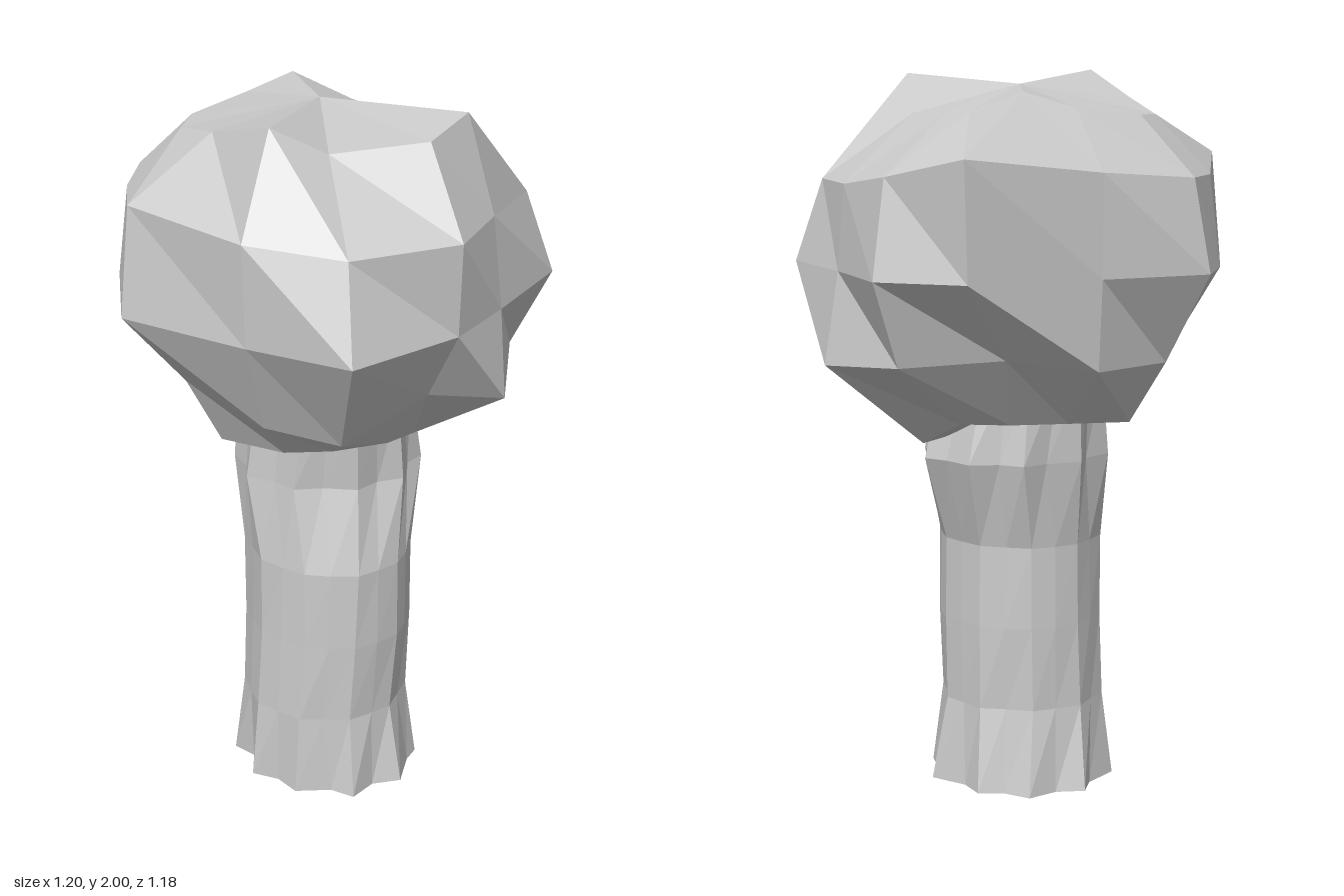
import * as THREE from 'three';

// Skin a stack of rings (listed top to bottom, each with the same point count);
// flip chooses which way each quad is split
function loft(rings, flip) {
  const pos = [];
  const tri = (a, b, c) => {
    if (a.distanceTo(b) < 1e-5 || b.distanceTo(c) < 1e-5 || c.distanceTo(a) < 1e-5) return;
    for (const p of [a, b, c]) pos.push(p.x, p.y, p.z);
  };
  for (let j = 0; j < rings.length - 1; j++) {
    const up = rings[j], low = rings[j + 1], n = up.length;
    for (let i = 0; i < n; i++) {
      const k = (i + 1) % n;
      tri(up[i], up[k], flip ? low[i] : low[k]);
      tri(flip ? up[k] : up[i], low[k], low[i]);
    }
  }
  const geometry = new THREE.BufferGeometry();
  geometry.setAttribute('position', new THREE.Float32BufferAttribute(pos, 3));
  geometry.computeVertexNormals();
  return geometry;
}

const polar = (cx, cz, rx, rz, y, a) =>
  new THREE.Vector3(cx + rx * Math.cos(a), y, cz + rz * Math.sin(a));

function seeded(seed) {
  return () => {
    seed = (seed * 16807) % 2147483647;
    return seed / 2147483647;
  };
}

// Lumpy crown: twelve columns, five uneven rings between two poles
function crownGeometry() {
  const topColumns = [0, 50, 70, 90, 122, 141, 180, 214, 235, 270, 293, 325];
  const midColumns = [0, 35, 67, 90, 119, 143, 180, 214, 237, 270, 306, 329];
  const lowColumns = [0, 35, 69, 90, 119, 143, 180, 214, 237, 270, 299, 329];
  const profiles = [
    { at: topColumns,
      r: [.21, .33, .46, .48, .40, .46, .34, .37, .37, .35, .36, .26],
      y: [1.89, 1.88, 1.99, 1.95, 1.92, 2.0, 1.92, 1.88, 1.88, 1.90, 1.94, 1.89] },
    { at: midColumns,
      r: [.51, .56, .53, .62, .64, .63, .60, .52, .54, .51, .67, .60],
      y: [1.70, 1.70, 1.72, 1.72, 1.72, 1.75, 1.77, 1.72, 1.72, 1.74, 1.78, 1.73] },
    { at: midColumns,
      r: [.53, .64, .56, .61, .73, .61, .63, .55, .59, .51, .64, .65],
      y: Array(12).fill(1.47) },
    { at: lowColumns,
      r: [.57, .53, .59, .49, .51, .48, .44, .42, .46, .49, .45, .55],
      y: [1.22, 1.26, 1.23, 1.27, 1.17, 1.20, 1.25, 1.25, 1.23, 1.23, 1.26, 1.24] },
    { at: lowColumns,
      r: [.29, .30, .31, .32, .32, .32, .33, .22, .35, .31, .31, .28],
      y: [.99, 1.06, 1.06, 1.07, 1.07, 1.06, 1.05, 1.12, 1.06, 1.07, 1.07, 1.06] },
  ];
  const pole = y => topColumns.map(() => new THREE.Vector3(.03, y, -.05));
  const rings = profiles.map(({ at, r, y }) => at.map((deg, i) =>
    polar(.03, -.05, r[i], r[i], y[i], THREE.MathUtils.degToRad(deg))));
  return loft([pole(1.96), ...rings, pole(1.05)], true);
}

// Gnarled trunk: ribbed rings that flare at the foot and bulge near the top
function trunkGeometry() {
  const sides = 20, random = seeded(41);
  // centre x, centre z, radius x, radius z, height, rib depth
  const levels = [
    [.005, .01, .235, .265, 1.17, .03],
    [.025, 0, .275, .265, .94, .045],
    [-.01, .045, .23, .255, .70, .015],
    [-.01, .045, .23, .25, .47, .01],
    [-.018, .04, .235, .245, .235, .02],
    [-.005, .035, .27, .29, 0, .055],
  ];
  const rings = levels.map(([cx, cz, rx, rz, y, depth]) =>
    Array.from({ length: sides }, (_, i) => {
      const cut = depth * ((i % 2) * .6 + random() * .3);
      const a = (i + (random() - .5) * depth * 8) / sides * Math.PI * 2;
      return polar(cx, cz, rx - cut, rz - cut, y, a);
    }));
  const cap = (x, z, y) => Array.from({ length: sides }, () => new THREE.Vector3(x, y, z));
  return loft([cap(.005, .01, 1.17), ...rings, cap(-.005, .035, 0)], false);
}

export function createModel() {
  const tree = new THREE.Group();
  tree.name = 'tree';
  const material = new THREE.MeshStandardMaterial({ color: 0xcccccc, flatShading: true });
  for (const [name, geometry] of [['trunk', trunkGeometry()], ['crown', crownGeometry()]]) {
    const mesh = new THREE.Mesh(geometry, material);
    mesh.name = name;
    tree.add(mesh);
  }
  return tree;
}
